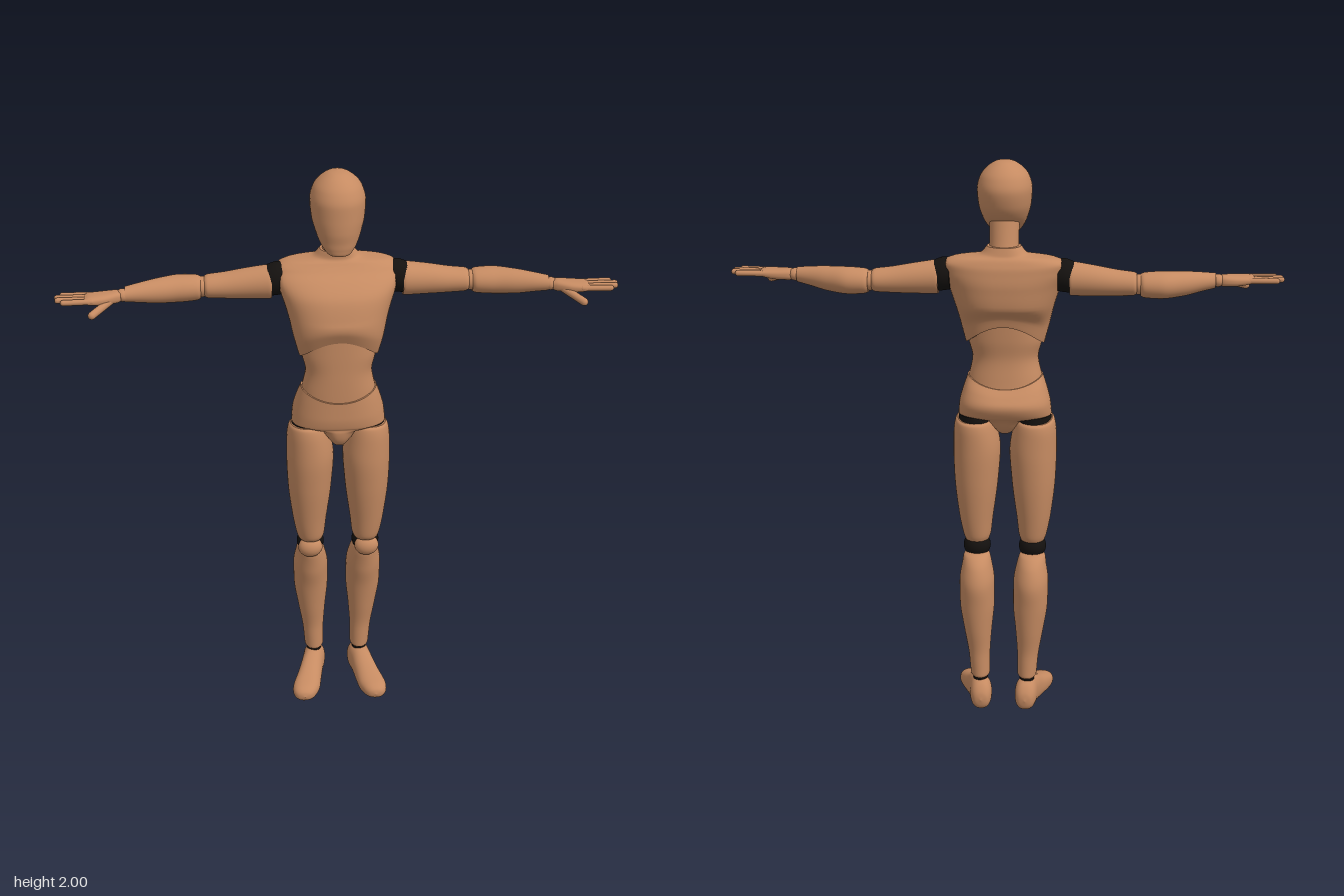
import * as THREE from 'three';

const wood = new THREE.MeshStandardMaterial({ color: 0xc68b62 });
wood.name = 'wood';
const dark = new THREE.MeshStandardMaterial({ color: 0x14110f });
dark.name = 'darkJoint';

// Monotone smooth interpolation of section rows
function smoothRows(rows, steps) {
  const n = rows.length, out = [];
  const slope = (i, k) => {
    const a = i > 0 ? rows[i][k] - rows[i - 1][k] : null;
    const b = i < n - 1 ? rows[i + 1][k] - rows[i][k] : null;
    if (a === null) return b;
    if (b === null) return a;
    return a * b <= 0 ? 0 : (2 * a * b) / (a + b);
  };
  for (let i = 0; i < n - 1; i++) {
    for (let s = 0; s < steps; s++) {
      const t = s / steps, t2 = t * t, t3 = t2 * t;
      out.push(rows[i].map((p, k) =>
        p * (2 * t3 - 3 * t2 + 1) + slope(i, k) * (t3 - 2 * t2 + t) +
        rows[i + 1][k] * (3 * t2 - 2 * t3) + slope(i + 1, k) * (t3 - t2)));
    }
  }
  out.push(rows[n - 1]);
  return out;
}

// Sections run along one axis: [position, centreU, centreV, radiusU, radiusV]
// u, v are x, z for axis y;  z, y for axis x;  y, x for axis z
const place = {
  y: (t, u, v) => [u, t, v],
  x: (t, u, v) => [t, v, u],
  z: (t, u, v) => [v, u, t],
};
function loft(axis, sections, { power = 2, warp = (p) => p, seg = 40, steps = 6 } = {}) {
  const rows = smoothRows(sections, steps), pos = [], idx = [];
  const ring = ([t, cu, cv, ru, rv]) => {
    for (let j = 0; j < seg; j++) {
      const a = (j / seg) * Math.PI * 2, c = Math.cos(a), s = Math.sin(a);
      const f = (q) => Math.sign(q) * Math.pow(Math.abs(q), 2 / power);
      pos.push(...warp(place[axis](t, cu + ru * f(c), cv + rv * f(s))));
    }
  };
  rows.forEach(ring);
  for (let i = 0; i < rows.length - 1; i++) {
    for (let j = 0; j < seg; j++) {
      const k = (j + 1) % seg, a = i * seg + j, b = i * seg + k;
      idx.push(a, a + seg, b, b, a + seg, b + seg);
    }
  }
  // Separate cap rings keep the ends crisp
  [rows[0], rows[rows.length - 1]].forEach((row, end) => {
    if (row[3] < 0.002) return;
    const base = pos.length / 3;
    ring(row);
    pos.push(...warp(place[axis](row[0], row[1], row[2])));
    for (let j = 0; j < seg; j++) {
      const a = base + j, b = base + ((j + 1) % seg);
      if (end) idx.push(base + seg, b, a);
      else idx.push(base + seg, a, b);
    }
  });
  const g = new THREE.BufferGeometry();
  g.setAttribute('position', new THREE.Float32BufferAttribute(pos, 3));
  g.setIndex(idx);
  g.computeVertexNormals();
  return g;
}

const ball = (x, y, z, rx, ry, rz) =>
  new THREE.SphereGeometry(1, 32, 20).scale(rx, ry, rz).translate(x, y, z);

// Rounded finger between two points
function finger(from, to, r) {
  const a = new THREE.Vector3(...from), d = new THREE.Vector3(...to).sub(a);
  const g = new THREE.CapsuleGeometry(r, d.length(), 6, 14);
  g.applyQuaternion(new THREE.Quaternion().setFromUnitVectors(new THREE.Vector3(0, 1, 0), d.clone().normalize()));
  return g.translate(a.x + d.x / 2, a.y + d.y / 2, a.z + d.z / 2);
}

function mirrored(geo) {
  const g = geo.clone().scale(-1, 1, 1), i = g.index.array;
  for (let k = 0; k < i.length; k += 3) [i[k], i[k + 1]] = [i[k + 1], i[k]];
  return g;
}

export function createModel() {
  const model = new THREE.Group();
  model.name = 'jointedMannequin';
  const add = (name, geo, mat = wood) => {
    const m = new THREE.Mesh(geo, mat);
    m.name = name;
    model.add(m);
  };
  const pair = (name, geo, mat = wood) => {
    add('left' + name, geo, mat);
    add('right' + name, mirrored(geo), mat);
  };

  // Head and neck
  add('head', loft('y', [
    [1.722, 0, 0.075, 0, 0], [1.73, 0, 0.07, 0.034, 0.026], [1.75, 0, 0.057, 0.053, 0.045],
    [1.775, 0, 0.035, 0.068, 0.07], [1.81, 0, 0.014, 0.081, 0.096], [1.85, 0, 0.001, 0.091, 0.109],
    [1.9, 0, -0.006, 0.095, 0.114], [1.945, 0, -0.008, 0.084, 0.099], [1.98, 0, -0.009, 0.054, 0.065],
    [1.995, 0, -0.01, 0.027, 0.034], [2, 0, -0.01, 0, 0]], { power: 2.1 }));
  add('neck', loft('y', [
    [1.68, 0, -0.052, 0.052, 0.05], [1.72, 0, -0.042, 0.05, 0.048], [1.81, 0, -0.02, 0.052, 0.05]]));

  // Chest: arched lower rim, flat shoulder sockets
  add('chest', loft('y', [
    [1.355, 0, 0.025, 0.138, 0.098], [1.42, 0, 0.028, 0.155, 0.111], [1.5, 0, 0.004, 0.174, 0.135],
    [1.57, 0, -0.01, 0.196, 0.128], [1.62, 0, -0.03, 0.214, 0.105], [1.65, 0, -0.047, 0.214, 0.082],
    [1.672, 0, -0.052, 0.178, 0.066], [1.685, 0, -0.052, 0.085, 0.056], [1.712, 0, -0.048, 0.058, 0.052]],
  {
    power: 2.4, seg: 56,
    warp: ([x, y, z]) => {
      const low = Math.max(0, Math.min(1, (1.5 - y) / 0.145));
      const arch = 0.072 * low * Math.max(0, 1 - (x / 0.138) ** 2);
      return [Math.max(-0.198, Math.min(0.198, x)), y + arch, z];
    },
  }));
  add('abdomen', loft('y', [
    [1.17, 0, 0.025, 0.138, 0.093], [1.23, 0, 0.03, 0.129, 0.09], [1.3, 0, 0.034, 0.116, 0.087],
    [1.37, 0, 0.03, 0.13, 0.092], [1.44, 0, 0.027, 0.13, 0.095]], { power: 2.3 }));
  // Pelvis: dipped upper rim, narrow crotch
  add('pelvis', loft('y', [
    [1.018, 0, 0.035, 0, 0], [1.024, 0, 0.035, 0.022, 0.05], [1.05, 0, 0.03, 0.045, 0.08],
    [1.082, 0, 0.022, 0.075, 0.095], [1.094, 0, 0.016, 0.15, 0.1], [1.1, 0, 0.014, 0.165, 0.106],
    [1.14, 0, 0.008, 0.161, 0.118], [1.19, 0, 0.017, 0.148, 0.109], [1.235, 0, 0.03, 0.132, 0.096]],
  {
    power: 2.4, seg: 56,
    warp: ([x, y, z]) => [x, y - 0.035 * Math.max(0, (y - 1.15) / 0.085) * Math.max(0, 1 - (x / 0.13) ** 2), z],
  }));

  // Arms
  pair('ShoulderJoint', loft('x', [
    [0.185, -0.04, 1.61, 0.056, 0.056], [0.21, -0.04, 1.608, 0.058, 0.058], [0.24, -0.04, 1.602, 0.055, 0.054]]), dark);
  pair('UpperArm', loft('x', [
    [0.226, -0.04, 1.597, 0.058, 0.057], [0.235, -0.04, 1.597, 0.06, 0.059], [0.31, -0.044, 1.592, 0.055, 0.053],
    [0.39, -0.046, 1.586, 0.05, 0.045], [0.445, -0.047, 1.584, 0.047, 0.04], [0.455, -0.047, 1.584, 0.04, 0.035]]));
  pair('Elbow', ball(0.463, 1.582, -0.047, 0.035, 0.035, 0.04));
  pair('Forearm', loft('x', [
    [0.468, -0.047, 1.58, 0.042, 0.038], [0.48, -0.047, 1.58, 0.05, 0.043], [0.54, -0.044, 1.58, 0.055, 0.047],
    [0.61, -0.025, 1.581, 0.048, 0.043], [0.68, -0.002, 1.584, 0.037, 0.033], [0.725, 0.012, 1.585, 0.03, 0.026]]));
  pair('Wrist', ball(0.733, 1.584, 0.018, 0.025, 0.022, 0.026));
  pair('Palm', loft('x', [
    [0.738, 0.024, 1.583, 0.022, 0.016], [0.755, 0.026, 1.583, 0.03, 0.02], [0.8, 0.036, 1.582, 0.04, 0.019],
    [0.845, 0.044, 1.584, 0.042, 0.014], [0.86, 0.046, 1.585, 0.036, 0.008]], { power: 2.6 }));
  [0.935, 0.953, 0.95, 0.93].forEach((tip, i) =>
    pair('Finger' + (i + 1), finger([0.835, 1.585, 0.012 + i * 0.021], [tip, 1.586, 0.01 + i * 0.024], 0.01)));
  pair('Thumb', finger([0.775, 1.575, 0.05], [0.835, 1.548, 0.108], 0.0135));

  // Legs
  pair('HipJoint', loft('y', [
    [1.05, 0.105, 0.005, 0.062, 0.078], [1.098, 0.105, 0.008, 0.058, 0.08]]), dark);
  pair('Thigh', loft('y', [
    [0.625, 0.1, 0.004, 0.043, 0.055], [0.64, 0.1, 0.006, 0.049, 0.063], [0.72, 0.103, 0.007, 0.062, 0.077],
    [0.85, 0.102, 0.01, 0.078, 0.094], [0.96, 0.1, 0.012, 0.084, 0.101], [1.04, 0.105, 0.011, 0.077, 0.099],
    [1.075, 0.108, 0.01, 0.067, 0.093], [1.083, 0.11, 0.01, 0.058, 0.084]],
  { power: 2.1, warp: ([x, y, z]) => [x, y + (y > 1 ? (y - 1) * z * 1.3 : 0), z] }));
  pair('KneeJoint', ball(0.1, 0.6, -0.006, 0.049, 0.046, 0.05), dark);
  pair('Kneecap', ball(0.102, 0.592, 0.032, 0.044, 0.038, 0.033));
  pair('Shin', loft('y', [
    [0.115, 0.085, -0.071, 0.028, 0.036], [0.125, 0.085, -0.071, 0.034, 0.042], [0.2, 0.088, -0.07, 0.038, 0.042],
    [0.3, 0.093, -0.068, 0.05, 0.055], [0.4, 0.096, -0.064, 0.062, 0.068], [0.48, 0.097, -0.056, 0.063, 0.08],
    [0.54, 0.098, -0.04, 0.054, 0.075], [0.572, 0.1, -0.024, 0.046, 0.06], [0.58, 0.1, -0.018, 0.036, 0.048]]));
  pair('AnkleJoint', ball(0.085, 0.11, -0.07, 0.027, 0.026, 0.03), dark);
  // Feet: turned out, flat sole
  pair('Foot', loft('z', [
    [-0.138, 0.04, 0.08, 0, 0], [-0.132, 0.04, 0.08, 0.026, 0.022], [-0.11, 0.046, 0.081, 0.05, 0.037],
    [-0.075, 0.052, 0.084, 0.06, 0.041], [-0.035, 0.048, 0.093, 0.057, 0.041], [0.02, 0.034, 0.107, 0.046, 0.045],
    [0.08, 0.024, 0.122, 0.036, 0.05], [0.12, 0.02, 0.13, 0.028, 0.041], [0.14, 0.018, 0.132, 0.016, 0.022],
    [0.146, 0.018, 0.132, 0, 0]], { power: 2.3, warp: ([x, y, z]) => [x, Math.max(0, y), z] }));

  return model;
}
